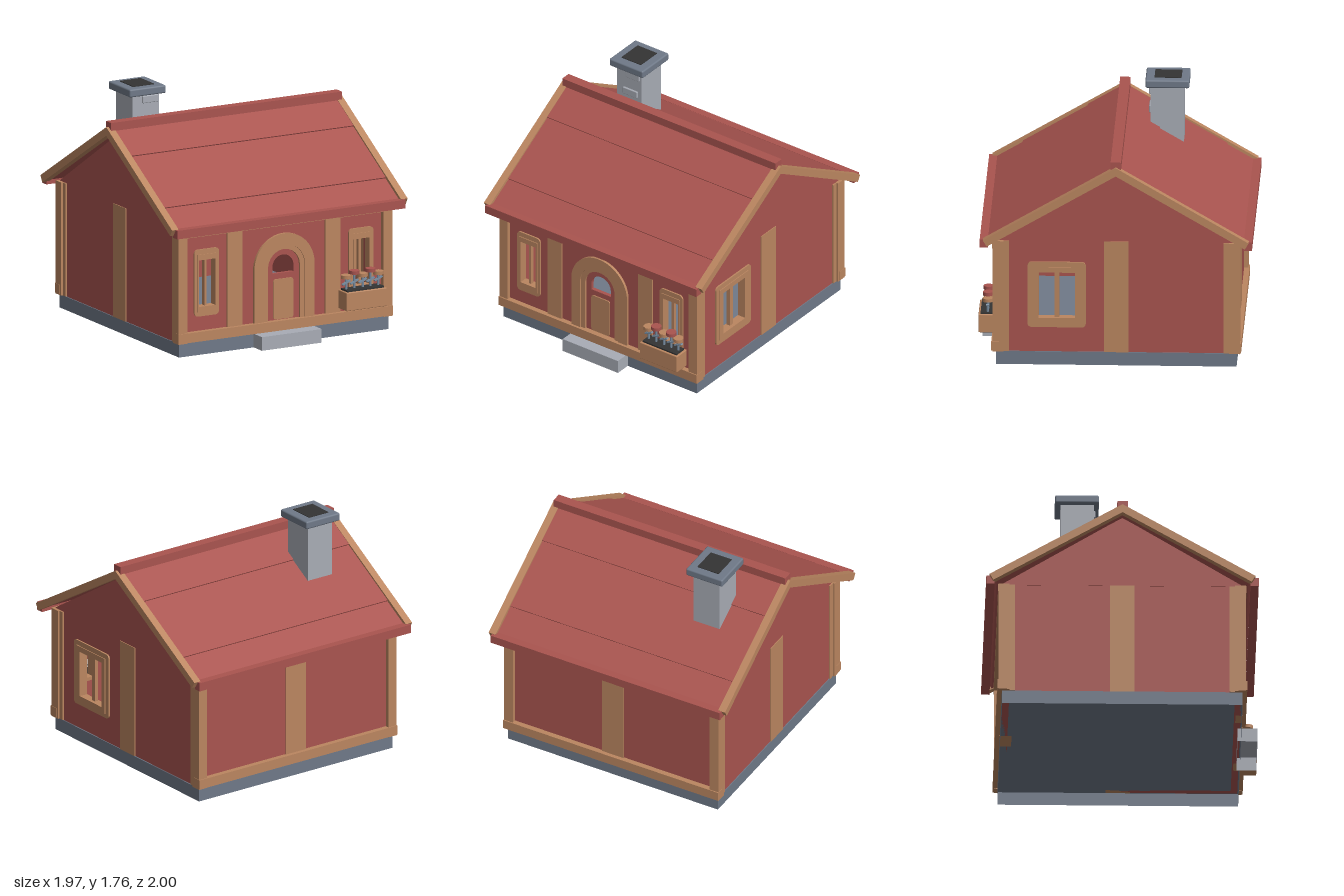
import * as THREE from 'three';
import { RoundedBoxGeometry } from 'three/addons/geometries/RoundedBoxGeometry.js';

const material = (name, color) => {
  const m = new THREE.MeshStandardMaterial({ color });
  m.name = name;
  return m;
};

export function createModel() {
  const red = material('red paint', 0xa9544f);
  const wood = material('timber', 0xbb8660);
  const slate = material('slate stone', 0x6f7988);
  const pale = material('pale stone', 0xa8acb5);
  const dark = material('dark soot', 0x343434);
  const leafMat = material('leaf', 0x7a8fa3);
  slate.side = pale.side = THREE.DoubleSide;

  const model = new THREE.Group();
  const house = new THREE.Group();
  house.name = 'house';
  house.position.z = -0.01;
  model.add(house);

  const add = (parent, name, geo, mat) => {
    const mesh = new THREE.Mesh(geo, mat);
    mesh.name = name;
    parent.add(mesh);
    return mesh;
  };
  // Box given by its extents; an optional bevel softens the edges
  const box = (parent, name, mat, x0, x1, y0, y1, z0, z1, bevel = 0) => {
    const s = [x1 - x0, y1 - y0, z1 - z0];
    const geo = bevel ? new RoundedBoxGeometry(...s, 2, bevel) : new THREE.BoxGeometry(...s);
    const mesh = add(parent, name, geo, mat);
    mesh.position.set((x0 + x1) / 2, (y0 + y1) / 2, (z0 + z1) / 2);
    return mesh;
  };
  // Box without its bottom face
  const openBox = (...args) => {
    const { geometry } = box(...args);
    const index = [...geometry.index.array];
    index.splice(18, 6);
    geometry.setIndex(index);
    geometry.clearGroups();
  };
  // Flat panel in the xy plane reaching from z0 to z1
  const panel = (parent, name, mat, shape, z0, z1) => {
    const geo = new THREE.ExtrudeGeometry(shape, { depth: z1 - z0, bevelEnabled: false, curveSegments: 20 });
    const mesh = add(parent, name, geo, mat);
    mesh.position.z = z0;
    return mesh;
  };
  const rounded = (cx, cy, w, h, r) => {
    const s = new THREE.Shape();
    s.moveTo(cx - w + r, cy - h);
    s.absarc(cx + w - r, cy - h + r, r, -Math.PI / 2, 0);
    s.absarc(cx + w - r, cy + h - r, r, 0, Math.PI / 2);
    s.absarc(cx - w + r, cy + h - r, r, Math.PI / 2, Math.PI);
    s.absarc(cx - w + r, cy - h + r, r, Math.PI, Math.PI * 1.5);
    return s;
  };
  const polygon = (...points) => new THREE.Shape(points.map(p => new THREE.Vector2(...p)));
  const rect = (cx, cy, w, h) => polygon([cx - w, cy - h], [cx + w, cy - h], [cx + w, cy + h], [cx - w, cy + h]);
  const arch = (r, y0, cy) => {
    const s = new THREE.Shape();
    s.moveTo(-r, y0);
    s.lineTo(r, y0);
    s.absarc(0, cy, r, 0, Math.PI);
    s.closePath();
    return s;
  };
  const withHoles = (shape, ...holes) => {
    shape.holes.push(...holes);
    return shape;
  };

  // Hollow foundation and doorstep, open underneath
  openBox(house, 'foundation', slate, -0.875, 0.875, 0, 0.1, -0.875, 0.875);
  openBox(house, 'doorstep', pale, -0.25, 0.25, 0, 0.102, 0.85, 0.995);

  // Walls, one group per side facing its local +z
  const side = (name, angle) => {
    const g = new THREE.Group();
    g.name = name;
    g.rotation.y = angle;
    house.add(g);
    return g;
  };
  const front = side('frontSide', 0);
  const right = side('windowSide', Math.PI / 2);
  const back = side('backSide', Math.PI);
  const left = side('plainSide', -Math.PI / 2);

  const wall = () => rect(0, 0.525, 0.868, 0.425);
  panel(front, 'frontWall', red, withHoles(wall(),
    rect(-0.645, 0.535, 0.075, 0.2), rect(0.645, 0.535, 0.075, 0.2), arch(0.15, 0.11, 0.574)), 0.82, 0.868);
  panel(right, 'windowWall', red, withHoles(wall(), rect(-0.433, 0.535, 0.16, 0.2)), 0.82, 0.868);
  panel(back, 'backWall', red, wall(), 0.82, 0.868);
  panel(left, 'plainWall', red, wall(), 0.82, 0.868);

  // Gables
  for (const g of [right, left]) {
    panel(g, 'gable', red, polygon([-0.885, 0.948], [0.885, 0.948], [0, 1.495]), 0.83, 0.87);
    box(g, 'middlePost', wood, -0.089, 0.089, 0.1, 0.948, 0.82, 0.876);
  }

  // Timber frame
  for (const x of [-0.41, 0.41]) box(front, 'frontPost', wood, x - 0.063, x + 0.063, 0.1, 0.9, 0.83, 0.88);
  box(back, 'backPost', wood, -0.09, 0.09, 0.1, 0.9, 0.79, 0.878);
  for (const g of [front, back]) {
    box(g, 'bottomRail', wood, -0.896, 0.896, 0.108, 0.18, 0.84, 0.908);
    box(g, 'topPlate', wood, -0.892, 0.892, 0.89, 0.945, 0.84, 0.902);
    for (const s of [-1, 1]) {
      box(g, 'cornerPost', wood, s * 0.857 - 0.037, s * 0.857 + 0.037, 0.102, 0.948, 0.82, 0.9);
      box(g, 'cornerBrace', wood, s * 0.85 - 0.03, s * 0.85 + 0.03, 0.102, 0.947, 0.78, 0.83);
    }
  }

  // Windows: stepped casing with a central bar
  const addWindow = (g, cx, w, mid, open, bar) => {
    panel(g, 'windowCasing', wood, withHoles(rounded(cx, 0.538, w, 0.25, 0.03), rect(cx, 0.535, mid, 0.215)), 0.85, 0.88);
    panel(g, 'windowFrame', wood, withHoles(rect(cx, 0.535, mid, 0.215), rect(cx, 0.535, open, 0.174)), 0.82, 0.886);
    box(g, 'windowBar', wood, cx - bar, cx + bar, 0.355, 0.715, 0.83, 0.86);
  };
  for (const s of [-1, 1]) addWindow(front, s * 0.645, 0.103, 0.082, 0.067, 0.01);
  addWindow(right, -0.433, 0.212, 0.173, 0.132, 0.018);

  // Arched door
  panel(front, 'doorCasing', wood, withHoles(arch(0.252, 0.105, 0.574), arch(0.172, 0.115, 0.574)), 0.85, 0.888);
  panel(front, 'doorFrame', wood, withHoles(arch(0.173, 0.105, 0.574), arch(0.133, 0.115, 0.574)), 0.82, 0.88);
  panel(front, 'door', red, withHoles(arch(0.14, 0.105, 0.57), arch(0.088, 0.527, 0.575)), 0.835, 0.864);
  panel(front, 'doorPanel', wood, rounded(0, 0.335, 0.083, 0.15, 0.02), 0.86, 0.872);

  // Roof: each slope is built flat, then tilted from the ridge
  for (const turn of [0, Math.PI]) {
    const half = side('roofHalf', turn);
    const slope = new THREE.Group();
    slope.name = 'roofSlope';
    slope.position.y = 1.55;
    slope.rotation.x = 0.53;
    half.add(slope);
    // Three courses, each standing a little proud of the one below
    [[0, 0.317], [0.317, 0.87], [0.87, 1.09]].forEach(([a, b], i) => {
      box(slope, 'roofCourse', red, -0.94, 0.94, -0.05, -0.003 - i * 0.009, a, b);
    });
    for (const s of [-1, 1]) {
      box(slope, 'bargeboard', wood, s * 0.957 - 0.028, s * 0.957 + 0.028, -0.055, 0, 0, 1.12);
    }
    box(half, 'eaveBoard', red, -0.955, 0.955, 0.918, 0.982, 0.93, 0.99);
  }
  box(house, 'ridgeCap', red, -0.965, 0.965, 1.505, 1.586, -0.038, 0.038);

  // Chimney
  box(house, 'chimneyShaft', pale, -0.648, -0.428, 1.2, 1.71, -0.445, -0.203);
  box(house, 'chimneyStone', pale, -0.57, -0.44, 1.635, 1.69, -0.22, -0.19, 0.006);
  box(house, 'chimneyStone', pale, -0.59, -0.46, 1.485, 1.54, -0.22, -0.19, 0.006);
  box(house, 'chimneyCap', slate, -0.692, -0.388, 1.697, 1.757, -0.485, -0.165, 0.012);
  box(house, 'chimneyOpening', dark, -0.628, -0.453, 1.753, 1.762, -0.427, -0.23);

  // Flower box
  const planter = new THREE.Group();
  planter.name = 'flowerBox';
  house.add(planter);
  box(planter, 'trough', wood, 0.453, 0.79, 0.21, 0.348, 0.88, 1.005, 0.006);
  box(planter, 'soil', dark, 0.468, 0.775, 0.34, 0.36, 0.895, 0.99);
  [0.487, 0.555, 0.625, 0.69, 0.755].forEach((x, i) => {
    const y = i % 2 ? 0.48 : 0.453;
    const stem = add(planter, 'stem', new THREE.CylinderGeometry(0.009, 0.009, y - 0.35, 6), leafMat);
    stem.position.set(x, (y + 0.35) / 2, 0.938);
    for (const s of [-1, 1]) {
      const leaf = add(planter, 'leaf', new THREE.BoxGeometry(0.035, 0.01, 0.022), leafMat);
      leaf.position.set(x + s * 0.016, 0.408 + s * 0.006, 0.938);
      leaf.rotation.z = 0.5;
    }
    const bloom = add(planter, 'bloom', new THREE.CylinderGeometry(0.039, 0.039, 0.026, 10), i % 2 ? red : wood);
    bloom.position.set(x, y, 0.938);
  });

  return model;
}
